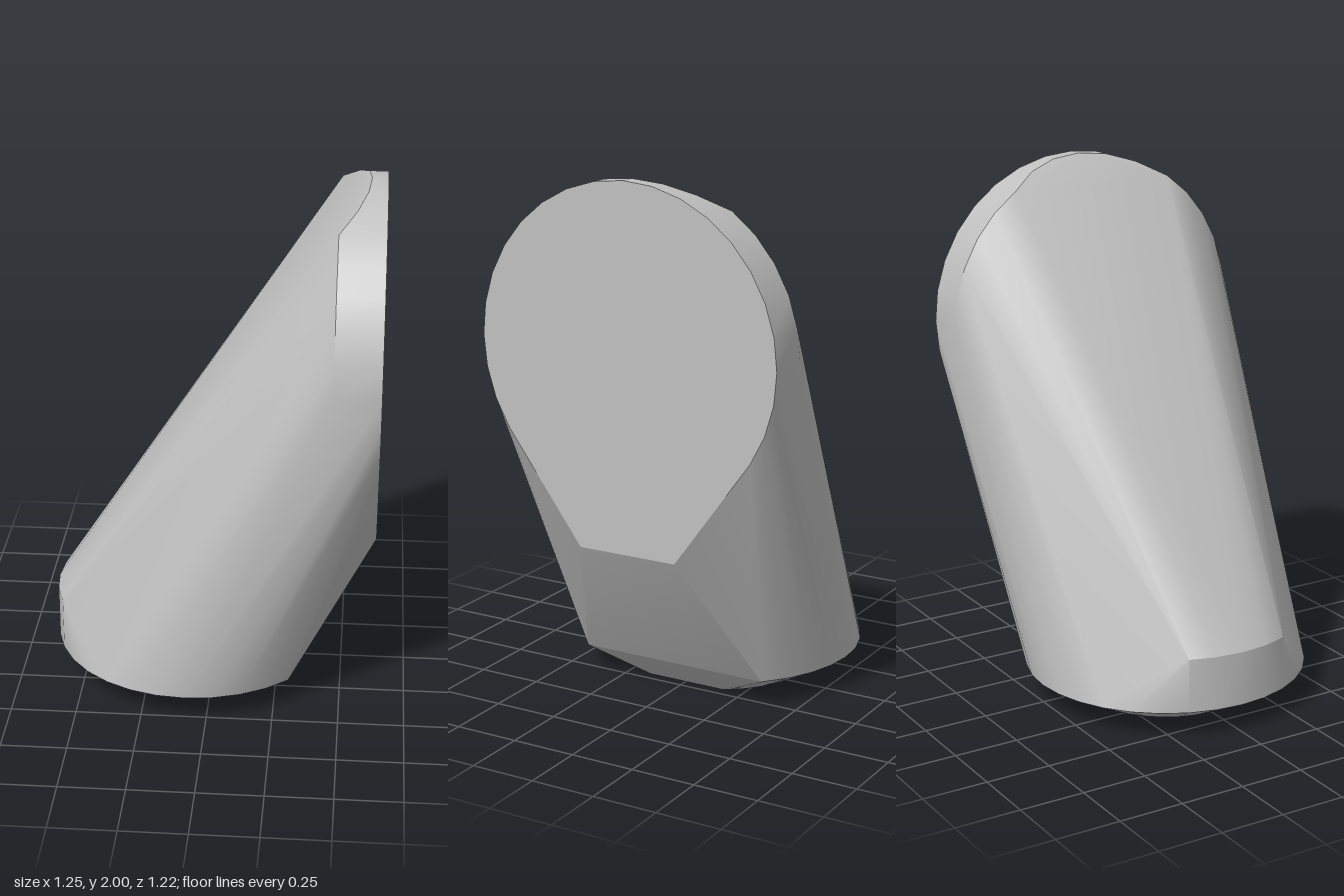
import * as THREE from 'three';
import { ConvexGeometry } from 'three/addons/geometries/ConvexGeometry.js';
import { toCreasedNormals } from 'three/addons/utils/BufferGeometryUtils.js';

const STEP = Math.PI / 16; // 32 points per full circle

export function createModel() {
  const group = new THREE.Group();
  const grey = new THREE.MeshStandardMaterial({ color: 0xc0c0c0 });
  grey.name = 'light grey';

  const points = [];
  const add = (x, y, z) => points.push(new THREE.Vector3(x, y, z));
  const addPair = (x, y, z) => { add(x, y, z); add(x, y, -z); };

  // Horizontal arc of the foot, centred on the side away from the face
  const footArc = (radius, y, half) => {
    for (let i = -half; i <= half; i++) {
      add(-0.08 - radius * Math.cos(i * STEP), y, radius * Math.sin(i * STEP));
    }
  };
  footArc(0.335, 0, 13);    // sole
  addPair(0.21, 0, 0.16);
  footArc(0.545, 0.11, 12); // top of the foot chamfer
  footArc(0.545, 0.32, 2);  // short upright heel

  // Upright face: round above, narrowing to a flat lower edge
  const faceR = 0.61, faceY = 1.39;
  const rimPoint = (x, i) =>
    addPair(x, faceY + faceR * Math.cos(i * STEP), faceR * Math.sin(i * STEP));
  for (let i = 0; i <= 11; i++) rimPoint(0.625, i);
  addPair(0.625, 0.635, 0.2);

  // Back of the rim, cut off along a curve at the top
  [0.565, 0.555, 0.52].forEach((x, i) => rimPoint(x, i));
  for (let i = 3; i <= 8; i++) rimPoint(0.455, i);

  const body = new THREE.Mesh(toCreasedNormals(new ConvexGeometry(points), 0.5), grey);
  body.name = 'slantedBody';
  group.add(body);
  return group;
}
